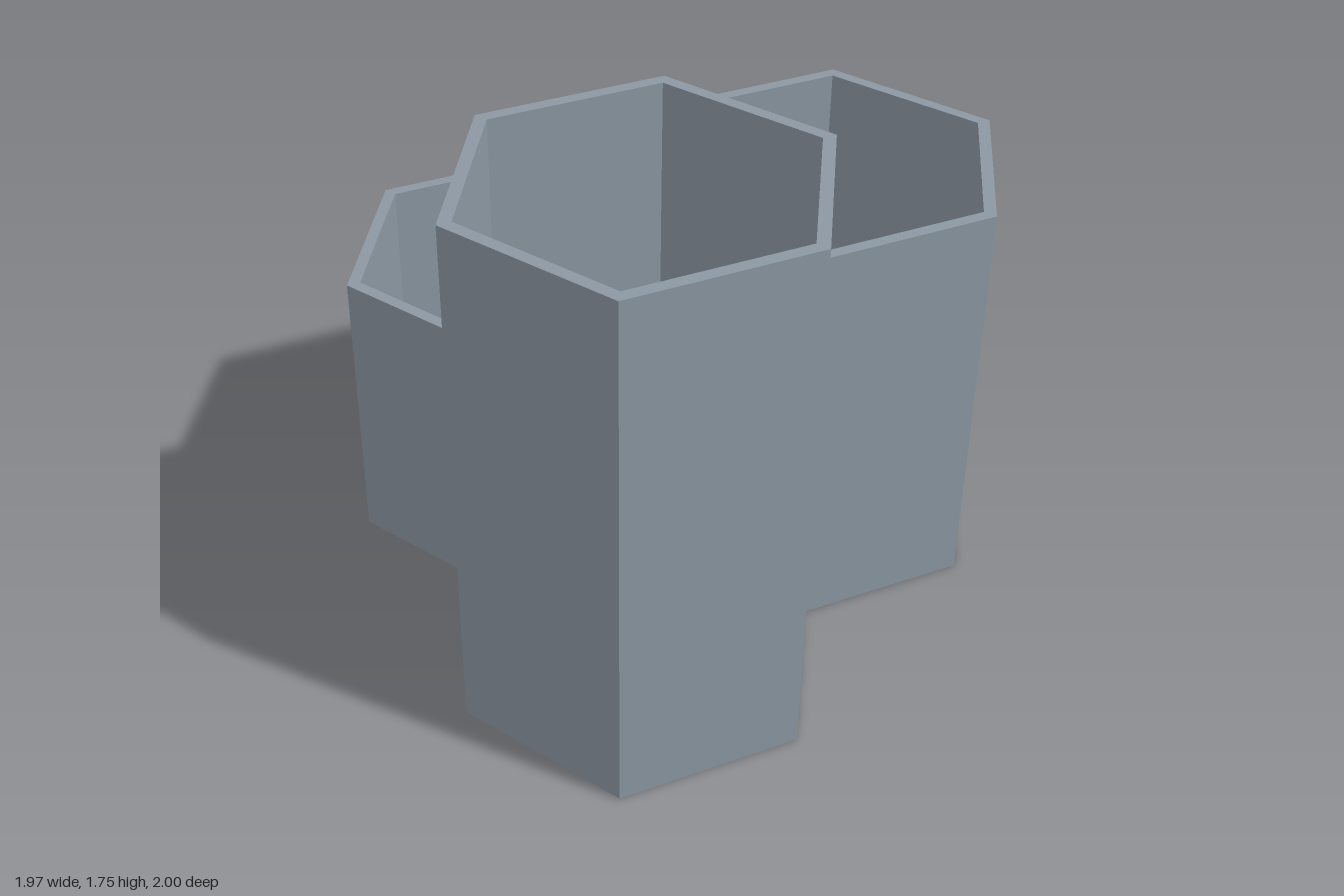
import * as THREE from 'three';

const grey = new THREE.MeshStandardMaterial({ color: 0x8c98a2 });
grey.name = 'slateGrey';

const OUTER = 0.58, INNER = 0.537, FLOOR = 0.03;

// Faceted hexagonal solid of revolution, one corner pointing to +z
function hexLathe(profile) {
  const points = profile.map(([r, y]) => new THREE.Vector2(r, y));
  const geometry = new THREE.LatheGeometry(points, 6).toNonIndexed();
  geometry.computeVertexNormals();
  return geometry;
}

// Open-topped cup with a closed floor
function hexCup(name, x, z, bottom, top) {
  const cup = new THREE.Mesh(hexLathe([
    [0, bottom], [OUTER, bottom], [OUTER, top],
    [INNER, top], [INNER, bottom + FLOOR], [0, bottom + FLOOR],
  ]), grey);
  cup.name = name;
  cup.position.set(x, 0, z);
  return cup;
}

export function createModel() {
  const model = new THREE.Group();
  model.name = 'hexagonalDeskOrganizer';

  model.add(
    hexCup('tallCup', -0.485, 0.417, 0.012, 1.75),
    hexCup('mediumCup', 0.485, 0.417, 0, 1.36),
    hexCup('shortCup', 0, -0.422, 0, 0.97),
  );

  // Thin base plate under the tall cup
  const plate = new THREE.Mesh(
    hexLathe([[0, 0], [0.576, 0], [0.576, 0.012], [0, 0.012]]), grey);
  plate.name = 'tallCupBasePlate';
  plate.position.set(-0.485, 0, 0.417);
  model.add(plate);

  return model;
}
